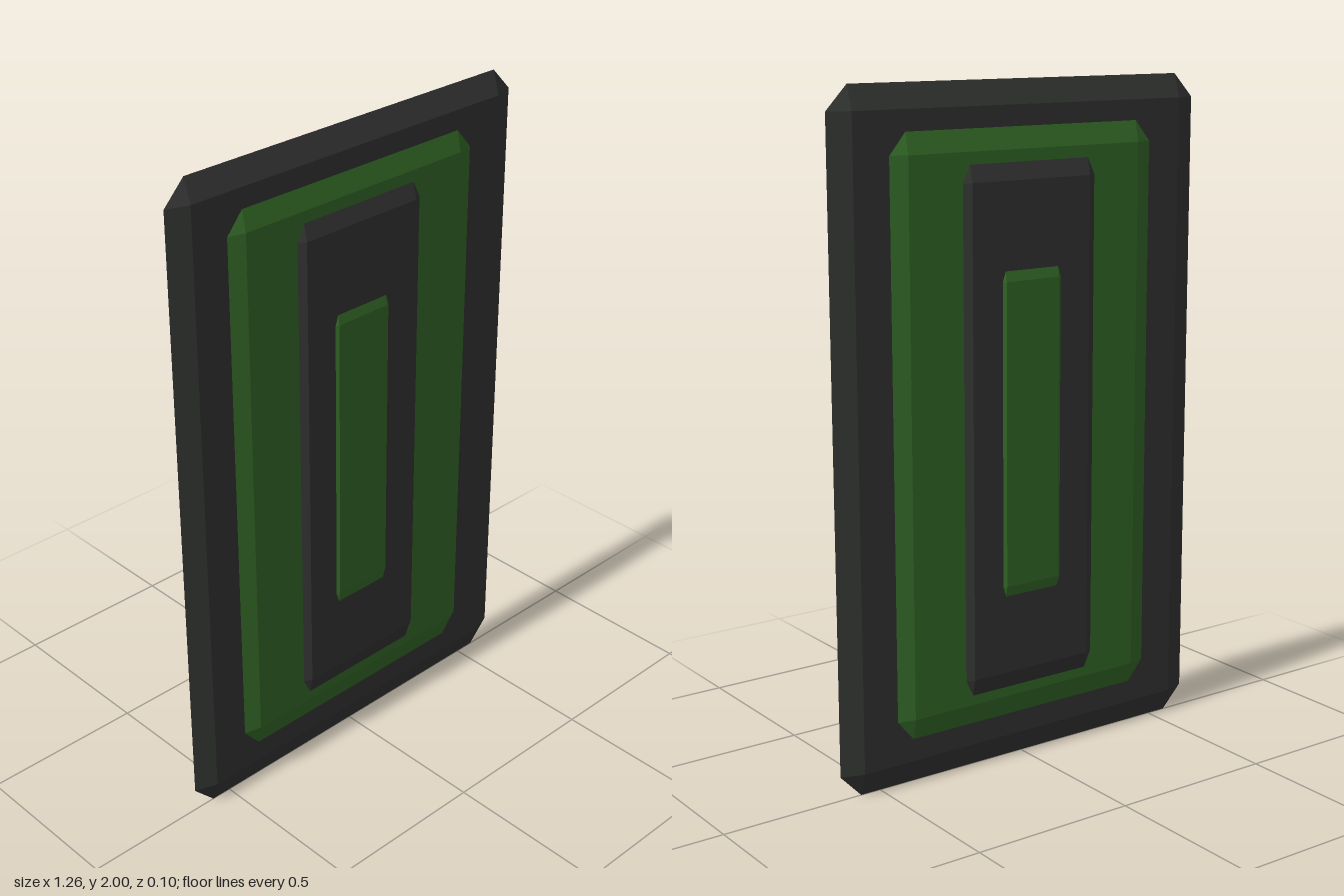
import * as THREE from 'three';

const dark = new THREE.MeshStandardMaterial({ color: 0x383a38, flatShading: true });
const green = new THREE.MeshStandardMaterial({ color: 0x3a752d, flatShading: true });

// One face of a bevelled panel: an eight-sided rim at z0 rising to a rectangle at z1.
// w, h: half sizes of the rim; bx, by: bevel widths; cx, cy: centre.
function bevelledFace({ w, h, bx, by, cx, cy, z0, z1 }) {
  const corners = [[1, 1], [-1, 1], [-1, -1], [1, -1]].map(([sx, sy], i) => {
    const inner = [cx + sx * (w - bx), cy + sy * (h - by), z1];
    const side = [cx + sx * w, cy + sy * (h - by), z0];
    const end = [cx + sx * (w - bx), cy + sy * h, z0];
    return i % 2 ? { inner, from: end, to: side } : { inner, from: side, to: end };
  });
  const points = [];
  corners.forEach((c, i) => {
    const n = corners[(i + 1) % 4];
    points.push(c.inner, c.from, c.to); // corner facet
    points.push(c.to, n.from, n.inner, c.to, n.inner, c.inner); // sloped edge
  });
  for (const i of [0, 1, 2, 0, 2, 3]) points.push(corners[i].inner); // flat face
  const geometry = new THREE.BufferGeometry();
  geometry.setAttribute('position', new THREE.Float32BufferAttribute(points.flat(), 3));
  geometry.computeVertexNormals();
  return geometry;
}

// Stacked panels, from the wide base plate to the narrow centre strip
const layers = [
  { name: 'basePlate', material: dark, w: 0.63, h: 1, bx: 0.067, by: 0.07, cx: 0, cy: 1, z0: 0, z1: 0.023 },
  { name: 'broadInset', material: green, w: 0.45, h: 0.866, bx: 0.052, by: 0.062, cx: 0, cy: 1.004, z0: 0.023, z1: 0.036 },
  { name: 'innerPlate', material: dark, w: 0.229, h: 0.772, bx: 0.024, by: 0.05, cx: 0.007, cy: 1.001, z0: 0.036, z1: 0.047 },
  { name: 'centreStrip', material: green, w: 0.102, h: 0.478, bx: 0.01, by: 0.03, cx: 0.006, cy: 0.992, z0: 0.047, z1: 0.052 },
];

export function createModel() {
  const model = new THREE.Group();
  model.name = 'layeredPanel';
  // The back is the front turned half way round
  for (const [name, turn] of [['frontSide', 0], ['backSide', Math.PI]]) {
    const side = new THREE.Group();
    side.name = name;
    side.rotation.y = turn;
    for (const layer of layers) {
      const mesh = new THREE.Mesh(bevelledFace(layer), layer.material);
      mesh.name = layer.name;
      side.add(mesh);
    }
    model.add(side);
  }
  return model;
}
